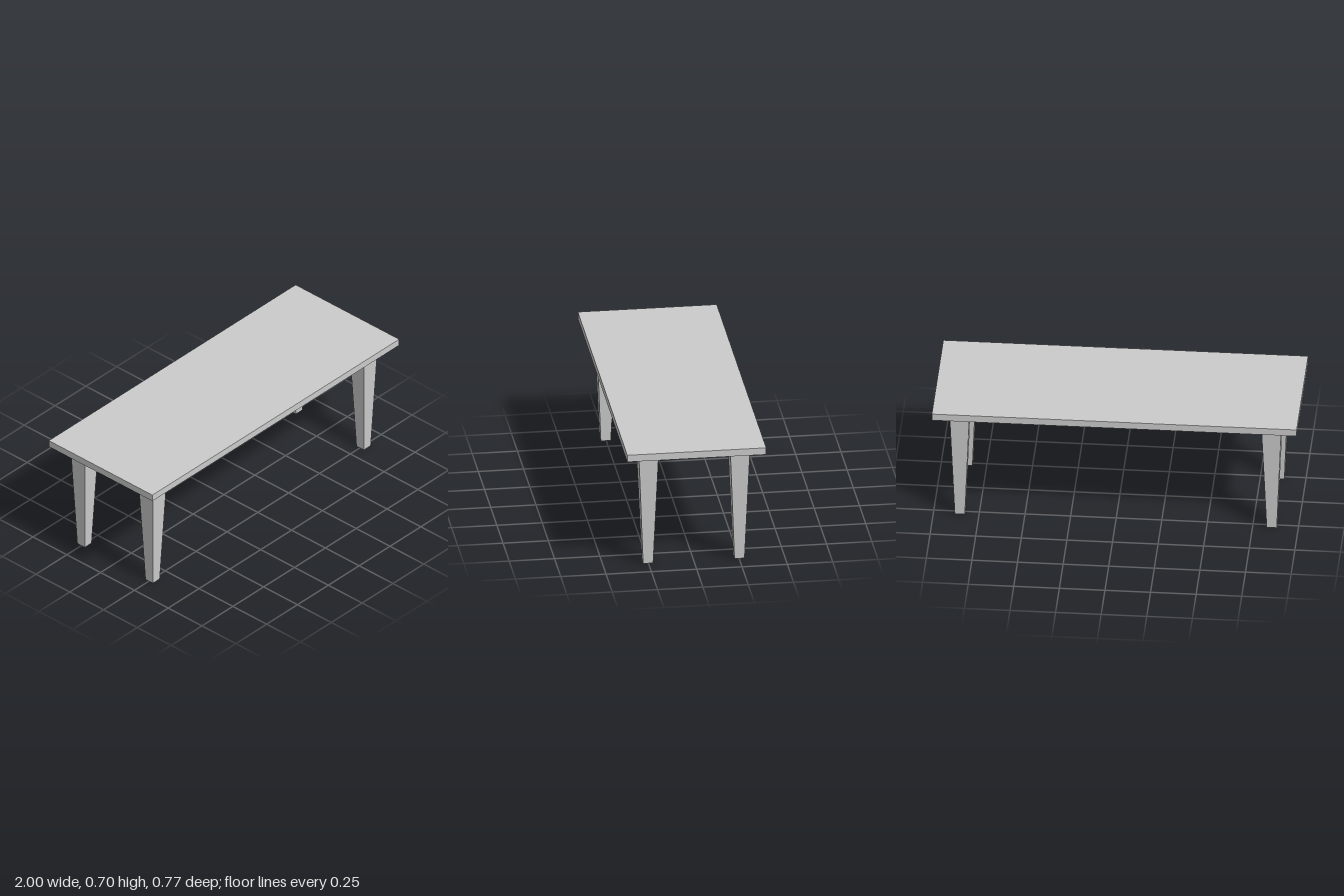
import * as THREE from 'three';

export function createModel() {
  const table = new THREE.Group();
  table.name = 'table';
  const material = new THREE.MeshStandardMaterial({ color: 0xcccccc, flatShading: true });

  const height = 0.7, thickness = 0.04, legHeight = height - thickness;

  // Flat rectangular slab
  const top = new THREE.Mesh(new THREE.BoxGeometry(2, thickness, 0.766), material);
  top.name = 'tableTop';
  top.position.y = height - thickness / 2;
  table.add(top);

  // Square leg tapering towards the floor: a four-sided cylinder turned square
  const legGeometry = new THREE.CylinderGeometry(0.0545 * Math.SQRT2, 0.0275 * Math.SQRT2, legHeight, 4);
  legGeometry.rotateY(Math.PI / 4);
  legGeometry.translate(0, legHeight / 2, 0);

  // One leg near each corner
  for (const [endName, z] of [['front', 0.252], ['back', -0.252]]) {
    for (const [sideName, x] of [['Left', 0.855], ['Right', -0.855]]) {
      const leg = new THREE.Mesh(legGeometry, material);
      leg.name = `${endName}${sideName}Leg`;
      leg.position.set(x, 0, z);
      table.add(leg);
    }
  }

  return table;
}
